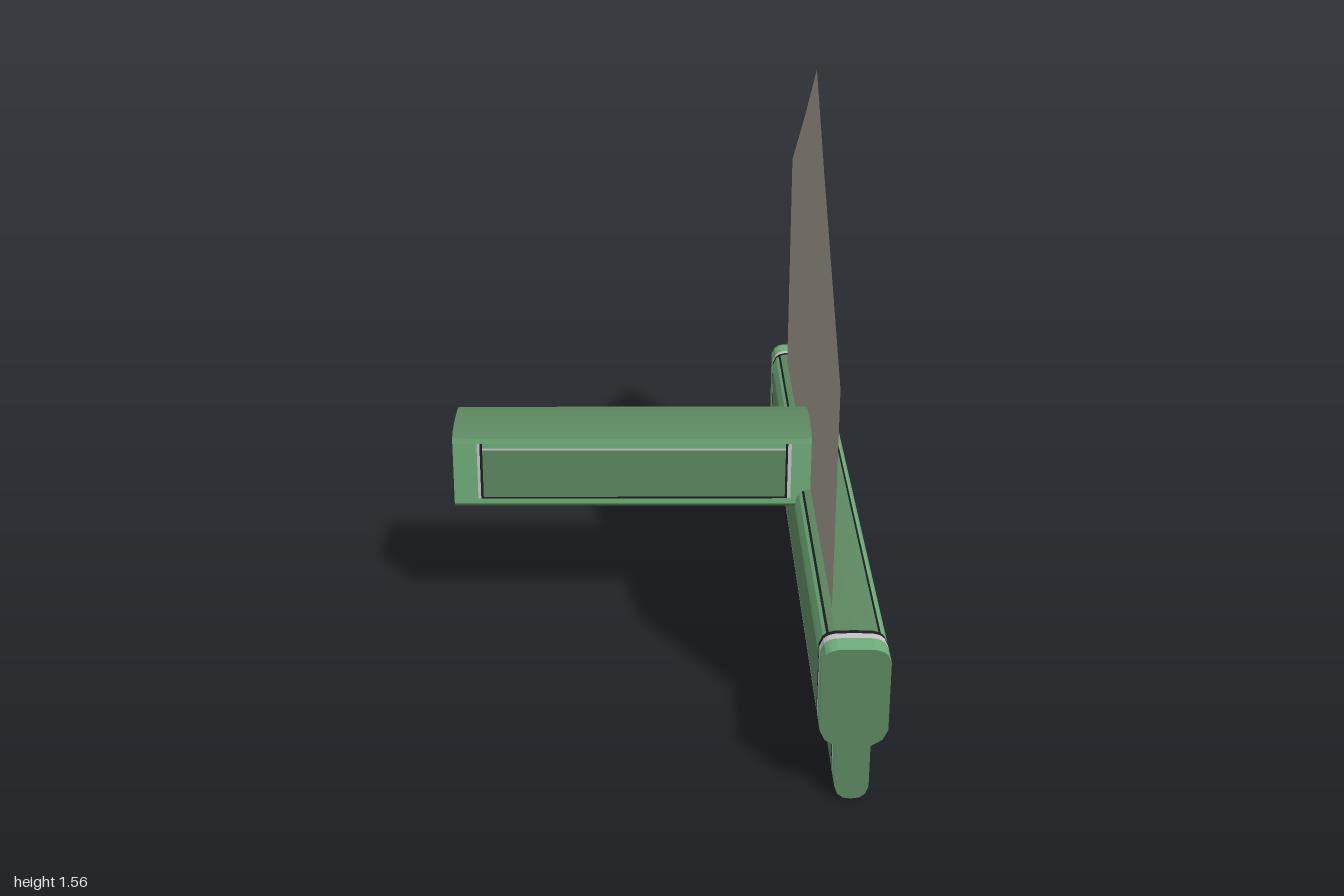
import * as THREE from 'three';

const mat = (name, color, side = THREE.FrontSide) => {
  const m = new THREE.MeshStandardMaterial({ color, side });
  m.name = name;
  return m;
};

// Mirror a half profile (bottom centre up to top centre) into a closed counter-clockwise loop.
// Each entry is [offset, height, tag of the edge to the next entry].
function mirrored(half) {
  const left = [];
  for (let i = half.length - 1; i > 0; i--) {
    left.push([-half[i][0], half[i][1], half[i - 1][2]]);
  }
  const right = half.slice(0, -1);
  return [...right, ...left];
}

// Sweep a section along z. Stops are [z, tag of the stretch up to the next stop].
// "core" stretches take the edge's own tag; "top" and "frame" edges keep one colour throughout.
function sweep(name, section, stops, mats) {
  const group = new THREE.Group();
  group.name = name;
  const buckets = {};
  for (let s = 0; s < stops.length - 1; s++) {
    const [z0, kind] = stops[s];
    const z1 = stops[s + 1][0];
    section.forEach(([px, py, tag], i) => {
      const [qx, qy] = section[(i + 1) % section.length];
      let color = kind === 'core' ? tag : kind;
      if (tag === 'top') color = 'dark';
      if (tag === 'frame') color = 'light';
      (buckets[color] ??= []).push(
        px, py, z0, qx, qy, z0, qx, qy, z1,
        px, py, z0, qx, qy, z1, px, py, z1);
    });
  }
  const labels = { dark: 'Panels', light: 'Frame', grey: 'GreyTrim', black: 'BlackTrim' };
  for (const [color, pos] of Object.entries(buckets)) {
    const geo = new THREE.BufferGeometry();
    geo.setAttribute('position', new THREE.Float32BufferAttribute(pos, 3));
    geo.computeVertexNormals();
    const mesh = new THREE.Mesh(geo, mats[color]);
    mesh.name = name + labels[color];
    group.add(mesh);
  }
  // Closed ends
  const shape = new THREE.Shape(section.map(([x, y]) => new THREE.Vector2(x, y)));
  for (const front of [true, false]) {
    const end = new THREE.Mesh(new THREE.ShapeGeometry(shape), mats.dark);
    end.name = name + (front ? 'FrontEnd' : 'BackEnd');
    end.position.z = front ? stops[stops.length - 1][0] : stops[0][0];
    if (!front) end.rotation.y = Math.PI; // section is symmetric
    group.add(end);
  }
  return group;
}

export function createModel() {
  const mats = {
    dark: mat('dark green', 0x5c8860),
    light: mat('light green', 0x70ad7a),
    grey: mat('light grey', 0xc4c4c4),
    black: mat('black', 0x1c1c22),
    stone: mat('stone', 0x9f978b, THREE.DoubleSide),
  };
  const model = new THREE.Group();
  model.name = 'model';

  // Long bar with a narrow keel below
  const barHalf = [
    [0, 0, 'dark'], [0.02, 0.003, 'dark'], [0.034, 0.014, 'dark'], [0.042, 0.036, 'dark'],
    [0.042, 0.142, 'grey'], [0.042, 0.15, 'light'], [0.07, 0.168, 'light'], [0.083, 0.195, 'grey'],
    [0.083, 0.2, 'dark'], [0.083, 0.352, 'light'], [0.083, 0.382, 'light'], [0.074, 0.402, 'light'],
    [0.066, 0.409, 'black'], [0.06, 0.412, 'dark'], [0.045, 0.416, 'dark'], [0, 0.417, 'dark'],
  ];
  const bar = sweep('bar', mirrored(barHalf), [
    [-1, 'light'], [-0.94, 'grey'], [-0.92, 'black'], [-0.907, 'core'],
    [0.908, 'black'], [0.922, 'grey'], [0.945, 'light'], [1],
  ], mats);
  bar.position.x = 0.4745;
  model.add(bar);

  // Cross handle, running along x
  const handleHalf = [
    [0, 0.347, 'top'], [0.05, 0.349, 'top'], [0.09, 0.357, 'top'], [0.108, 0.372, 'frame'],
    [0.108, 0.388, 'black'], [0.108, 0.393, 'dark'], [0.108, 0.535, 'grey'], [0.108, 0.541, 'light'],
    [0.108, 0.555, 'frame'], [0.107, 0.571, 'top'], [0.09, 0.583, 'top'], [0.05, 0.59, 'top'],
    [0, 0.592, 'top'],
  ];
  const handle = sweep('handle', mirrored(handleHalf), [
    [-0.565, 'light'], [-0.498, 'grey'], [-0.49, 'black'], [-0.483, 'core'],
    [0.361, 'black'], [0.367, 'grey'], [0.377, 'light'], [0.443],
  ], mats);
  handle.rotation.y = Math.PI / 2;
  handle.position.z = 0.014;
  model.add(handle);

  // Upright flat plate, outline given as (z, y)
  const outline = [
    [0.8, 0.3], [0.8, 1.0], [0.215, 1.36], [-0.09, 1.56], [-0.44, 1.34], [-0.85, 1.1], [-0.83, 0.3],
  ];
  const plateShape = new THREE.Shape(outline.map(([z, y]) => new THREE.Vector2(-z, y)));
  const plate = new THREE.Mesh(new THREE.ShapeGeometry(plateShape), mats.stone);
  plate.name = 'plate';
  plate.rotation.y = Math.PI / 2;
  plate.position.x = 0.432;
  model.add(plate);

  return model;
}
